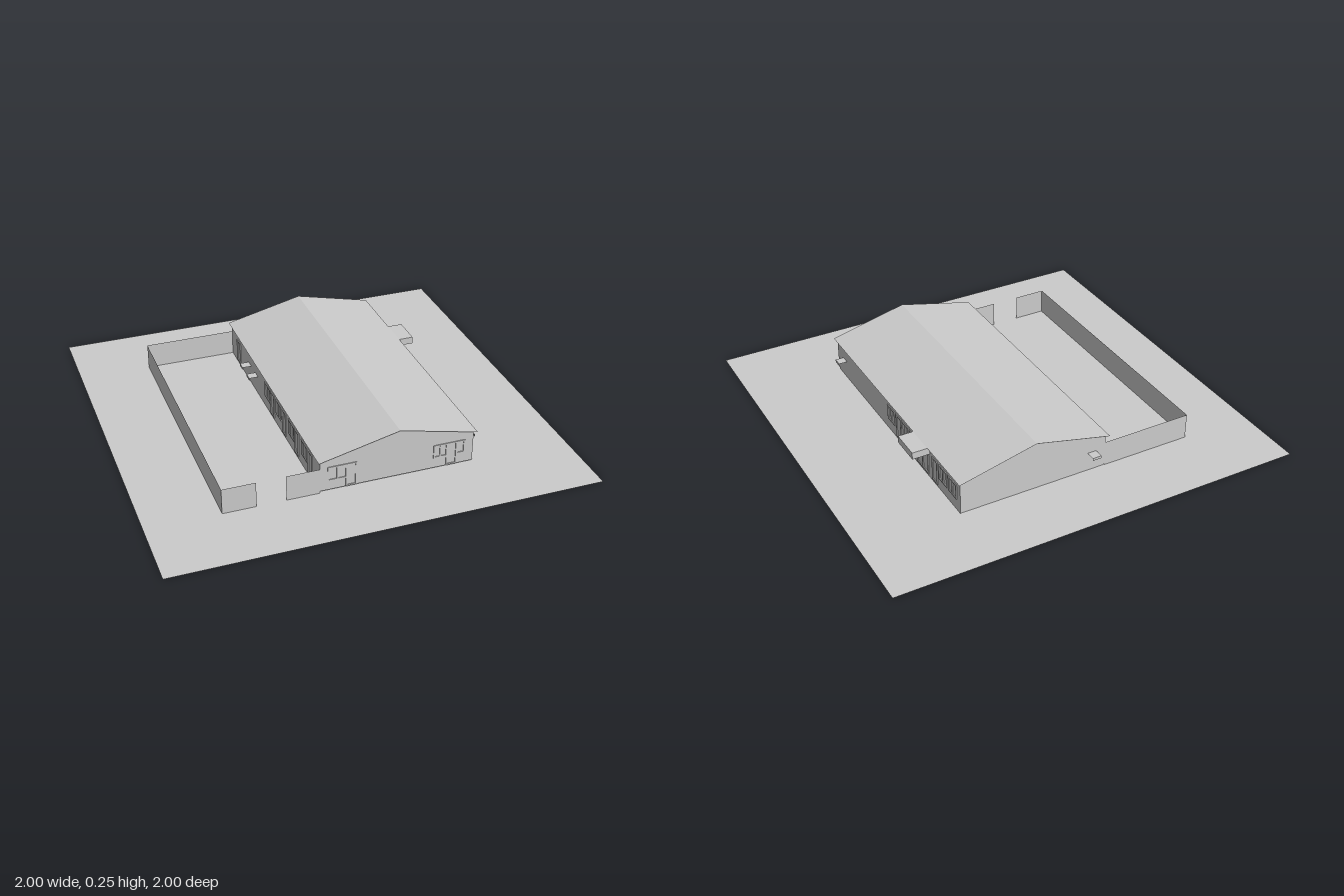
import * as THREE from 'three';

const mat = new THREE.MeshStandardMaterial({ color: 0xcccccc, flatShading: true, side: THREE.DoubleSide });

export function createModel() {
  const root = new THREE.Group();

  const add = (name, geometry, x = 0, y = 0, z = 0, parent = root) => {
    const m = new THREE.Mesh(geometry, mat);
    m.name = name;
    m.position.set(x, y, z);
    parent.add(m);
    return m;
  };
  const box = (name, w, h, d, x, y, z, parent) => add(name, new THREE.BoxGeometry(w, h, d), x, y, z, parent);
  // Horizontal sheet
  const sheet = (name, w, d, x, y, z, parent) =>
    add(name, new THREE.PlaneGeometry(w, d).rotateX(-Math.PI / 2), x, y, z, parent);
  // Upright sheet between two ground points
  const panel = (name, x0, z0, x1, z1, y0, y1, parent) => {
    const m = add(name, new THREE.PlaneGeometry(Math.hypot(x1 - x0, z1 - z0), y1 - y0),
      (x0 + x1) / 2, (y0 + y1) / 2, (z0 + z1) / 2, parent);
    m.rotation.y = -Math.atan2(z1 - z0, x1 - x0);
    return m;
  };

  const L = -0.21, R = 0.52, F = 0.66, B = -0.66, RIDGE = 0.155;

  // Ground and base slab
  sheet('ground', 2, 2, 0, 0, 0);
  box('baseSlab', R - L, 0.01, 1.305, (L + R) / 2, 0.005, -0.005);

  // Walls with gabled ends, kept just below the roof sheet
  const gable = new THREE.Shape([[L, 0.01], [R, 0.01], [R, 0.165], [RIDGE, 0.252], [L, 0.165]]
    .map(([x, y]) => new THREE.Vector2(x, y)));
  add('walls', new THREE.ExtrudeGeometry(gable, { depth: F - B, bevelEnabled: false }), 0, 0, B);

  // Thin pitched roof
  const halfWidth = 0.377, rise = 0.089;
  for (const s of [-1, 1]) {
    const slope = sheet(s < 0 ? 'roofLeft' : 'roofRight', Math.hypot(halfWidth, rise), 1.355,
      RIDGE + s * halfWidth / 2, 0.255 - rise / 2, 0);
    slope.rotation.z = -s * Math.atan2(rise, halfWidth);
  }

  // Yard fence with a gate opening at the front
  const fence = [[-0.655, F, -0.5, F], [-0.365, F, L, F], [-0.655, F, -0.655, B], [-0.655, B, L, B]];
  for (const f of fence) panel('fence', ...f, 0, 0.125);

  // Entrance canopy: flat top with a fascia on three sides
  const canopy = new THREE.Group();
  canopy.name = 'canopy';
  root.add(canopy);
  sheet('canopyTop', 0.085, 0.145, 0.5625, 0.165, -0.2975, canopy);
  panel('canopyFascia', 0.52, -0.225, 0.605, -0.225, 0.13, 0.165, canopy);
  panel('canopyFascia', 0.605, -0.225, 0.605, -0.37, 0.13, 0.165, canopy);
  panel('canopyFascia', 0.605, -0.37, 0.52, -0.37, 0.13, 0.165, canopy);

  // Framed opening: origin at its bottom middle, facing +z
  const opening = (name, width, y0, y1, x, z, turn, bays = 2) => {
    const g = new THREE.Group();
    g.name = name;
    const t = 0.007, d = 0.008, h = y1 - y0;
    for (let i = 0; i <= bays; i++)
      box('upright', t, h, d, -width / 2 + width * i / bays, h / 2, 0, g);
    for (const y of [0, h]) box('rail', width + t, t, d, 0, y, 0, g);
    g.position.set(x, y0, z);
    g.rotation.y = turn;
    root.add(g);
  };
  const quarter = Math.PI / 2;

  // Front openings
  opening('frontDoor', 0.045, 0.015, 0.125, -0.065, F, 0, 1);
  opening('frontWindow', 0.085, 0.06, 0.125, -0.13, F, 0);
  opening('frontDoor', 0.045, 0.015, 0.125, 0.415, F, 0, 1);
  opening('frontWindow', 0.06, 0.065, 0.125, 0.36, F, 0);
  opening('frontWindow', 0.035, 0.065, 0.125, 0.458, F, 0, 1);

  // Right-hand openings, with the entrance under the canopy
  for (const z of [0.03, -0.12, -0.5, -0.59]) opening('sideWindow', 0.07, 0.06, 0.13, R, z, quarter);
  for (const z of [-0.05, -0.19, -0.42]) opening('sideDoor', 0.045, 0.015, 0.13, R, z, quarter, 1);
  opening('entranceDoor', 0.11, 0.015, 0.125, R, -0.3, quarter);

  // Yard side openings
  for (const z of [-0.07, 0.1, 0.28, 0.46]) {
    opening('yardWindow', 0.075, 0.06, 0.13, L, z, -quarter);
    opening('yardDoor', 0.045, 0.015, 0.13, L, z + 0.075, -quarter, 1);
  }
  opening('yardDoor', 0.05, 0.015, 0.125, L, -0.54, -quarter, 1);

  // Small wall hoods: a flat plate with a shallow lip
  const hood = (x, z, turn, depth) => {
    const g = new THREE.Group();
    g.name = 'wallHood';
    sheet('hoodTop', 0.045, depth, 0, 0.096, depth / 2, g);
    panel('hoodLip', -0.0225, depth, 0.0225, depth, 0.083, 0.096, g);
    g.position.set(x, 0, z);
    g.rotation.y = turn;
    root.add(g);
  };
  hood(R, 0.573, quarter, 0.042);
  hood(L, -0.357, -quarter, 0.045);
  hood(L, -0.247, -quarter, 0.045);
  hood(-0.14, B, Math.PI, 0.045);

  return root;
}
